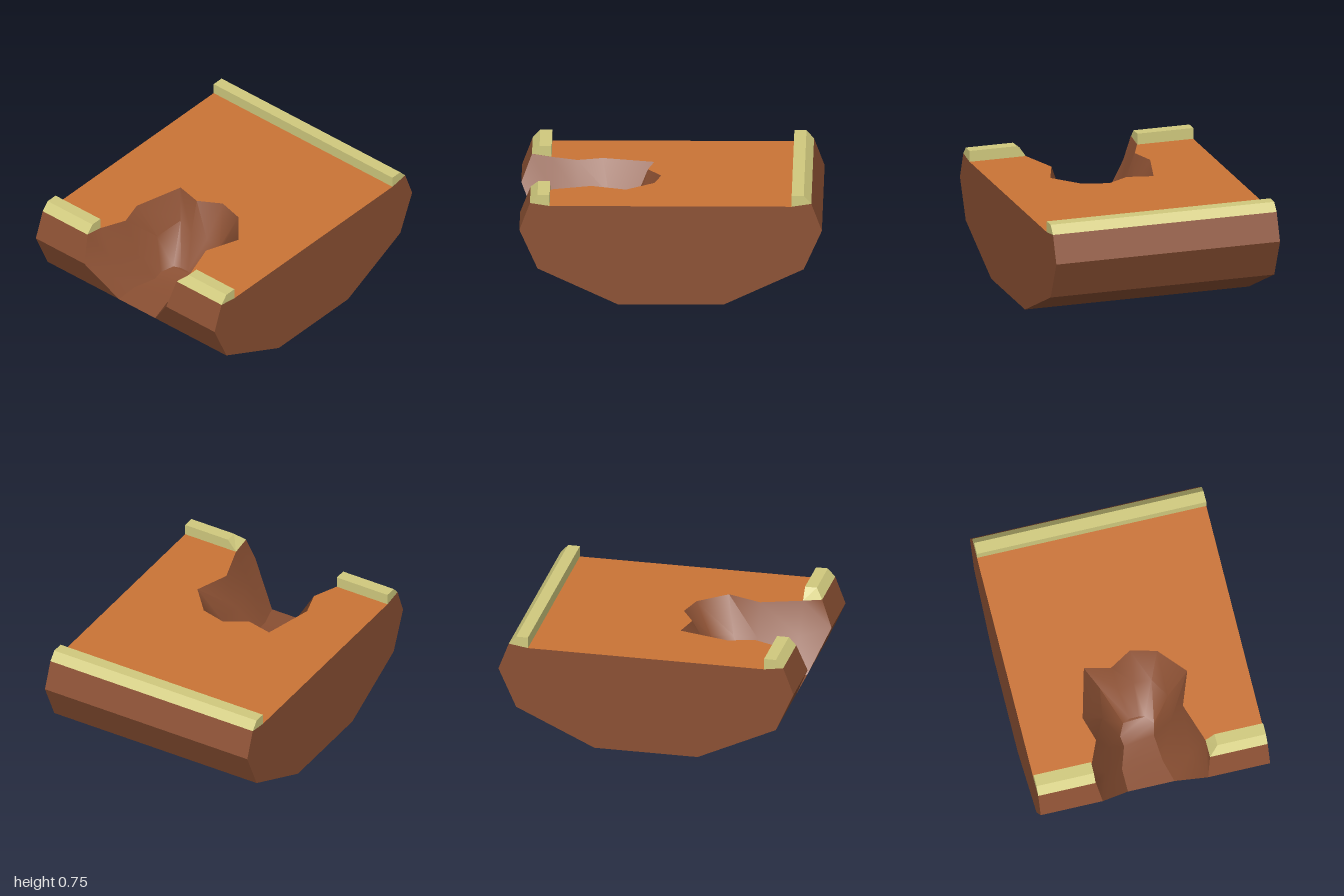
import * as THREE from 'three';
import { toCreasedNormals } from 'three/addons/utils/BufferGeometryUtils.js';

const flat = (name, color) => {
  const m = new THREE.MeshStandardMaterial({ color });
  m.name = name;
  return m;
};

// Triangle collector for faceted surfaces
function surface() {
  const pos = [];
  const poly = (...c) => {
    for (let i = 1; i < c.length - 1; i++) pos.push(...c[0], ...c[i], ...c[i + 1]);
  };
  const build = () => {
    const g = new THREE.BufferGeometry();
    g.setAttribute('position', new THREE.Float32BufferAttribute(pos, 3));
    g.computeVertexNormals();
    return g;
  };
  return { poly, build };
}

// Counterclockwise profile swept along z, with a start and end z per point
function addSide(s, a, b, a0, a1, b0, b1) {
  s.poly([...a, a1], [...a, a0], [...b, b0], [...b, b1]);
}
function addCaps(s, p, z0, z1) {
  s.poly(...p.map((c, i) => [...c, z1[i]]));
  s.poly(...p.map((c, i) => [...c, z0[i]]).reverse());
}

const D = 0.78;
const PROFILE = [[-0.35, 0], [0.35, 0], [0.88, 0.245], [1, 0.51], [0.93, 0.695],
  [0.8, 0.675], [-0.8, 0.675], [-0.93, 0.695], [-1, 0.51], [-0.88, 0.245]];
// Half width of the broken opening at profile points 6 to 9
const GAP = { 6: 0.388, 7: 0.388, 8: 0.358, 9: 0.158 };

// Crater stations from the back of the opening, round the tip, to the front: rim, middle, floor
const CRATER = [
  [[-0.93, 0.695, -0.388], [-1, 0.51, -0.358], [-0.88, 0.245, -0.158]],
  [[-0.8, 0.675, -0.388], [-0.8, 0.47, -0.29], [-0.72, 0.25, -0.16]],
  [[-0.63, 0.675, -0.315], [-0.62, 0.45, -0.23], [-0.57, 0.26, -0.11]],
  [[-0.46, 0.675, -0.365], [-0.42, 0.47, -0.22], [-0.5, 0.27, -0.12]],
  [[-0.12, 0.675, -0.275], [-0.22, 0.5, -0.19], [-0.42, 0.29, -0.08]],
  [[-0.16, 0.675, -0.1], [-0.25, 0.46, -0.07], [-0.4, 0.29, -0.03]],
  [[-0.07, 0.675, 0.05], [-0.22, 0.46, 0.04], [-0.4, 0.29, 0.03]],
  [[-0.115, 0.675, 0.225], [-0.23, 0.46, 0.16], [-0.41, 0.29, 0.07]],
  [[-0.3, 0.675, 0.385], [-0.36, 0.45, 0.24], [-0.46, 0.27, 0.12]],
  [[-0.53, 0.675, 0.3], [-0.53, 0.45, 0.22], [-0.54, 0.26, 0.1]],
  [[-0.8, 0.675, 0.388], [-0.8, 0.46, 0.28], [-0.72, 0.25, 0.115]],
  [[-0.93, 0.695, 0.388], [-1, 0.51, 0.358], [-0.88, 0.245, 0.158]],
];

function hullGeometry() {
  const s = surface();
  const n = PROFILE.length;
  addCaps(s, PROFILE, PROFILE.map(() => -D), PROFILE.map(() => D));
  for (let i = 0; i < n; i++) {
    if (i === 5) continue; // the deck closes this side
    const a = PROFILE[i], b = PROFILE[(i + 1) % n];
    if (i >= 6 && i <= 8) {
      addSide(s, a, b, -D, -GAP[i], -D, -GAP[i + 1]);
      addSide(s, a, b, GAP[i], D, GAP[i + 1], D);
    } else addSide(s, a, b, -D, D, -D, D);
  }
  return s.build();
}

function craterGeometry() {
  const s = surface();
  const last = CRATER.length - 1;
  for (let i = 0; i < last; i++) {
    const a = CRATER[i], b = CRATER[i + 1];
    for (let k = 0; k < 2; k++) s.poly(a[k], a[k + 1], b[k + 1], b[k]);
  }
  for (let i = 0; i < last / 2 - 1; i++) {
    s.poly(CRATER[i][2], CRATER[last - i][2], CRATER[last - i - 1][2], CRATER[i + 1][2]);
  }
  return toCreasedNormals(s.build(), 0.7);
}

function deckGeometry() {
  const rim = CRATER.slice(1, -1).map(([r]) => [r[0], r[2]]);
  const outline = [[-0.8, -D], ...rim, [-0.8, D], [0.8, D], [0.8, -D]];
  const shape = new THREE.Shape(outline.map(([x, z]) => new THREE.Vector2(x, -z)));
  return new THREE.ShapeGeometry(shape).rotateX(-Math.PI / 2).translate(0, 0.675, 0);
}

function curbGeometry(profile, z0, z1) {
  const s = surface();
  addCaps(s, profile, z0, z1);
  profile.forEach((a, i) => {
    const j = (i + 1) % profile.length;
    addSide(s, a, profile[j], z0[i], z1[i], z0[j], z1[j]);
  });
  return s.build();
}

export function createModel() {
  const brown = flat('earth brown', 0x8b5033);
  const orange = flat('deck orange', 0xcb7436);
  const cream = flat('curb cream', 0xd1ca7e);
  const model = new THREE.Group();
  model.name = 'brokenRoadSegment';
  const add = (name, geometry, material) => {
    const mesh = new THREE.Mesh(geometry, material);
    mesh.name = name;
    model.add(mesh);
  };

  add('hull', hullGeometry(), brown);
  add('crater', craterGeometry(), brown);
  add('deck', deckGeometry(), orange);

  // Curbs: one whole, the other broken in two with a chipped front piece
  const left = [[0.8, 0.675], [0.93, 0.695], [0.88, 0.75], [0.8, 0.75]];
  const right = left.map(([x, y]) => [-x, y]).reverse();
  const all = (z) => [z, z, z, z];
  add('leftCurb', curbGeometry(left, all(-D), all(D)), cream);
  add('rightCurbBack', curbGeometry(right, all(-D), all(-0.39)), cream);
  add('rightCurbFront', curbGeometry(right, [0.45, 0.45, 0.388, 0.388], all(D)), cream);
  return model;
}
